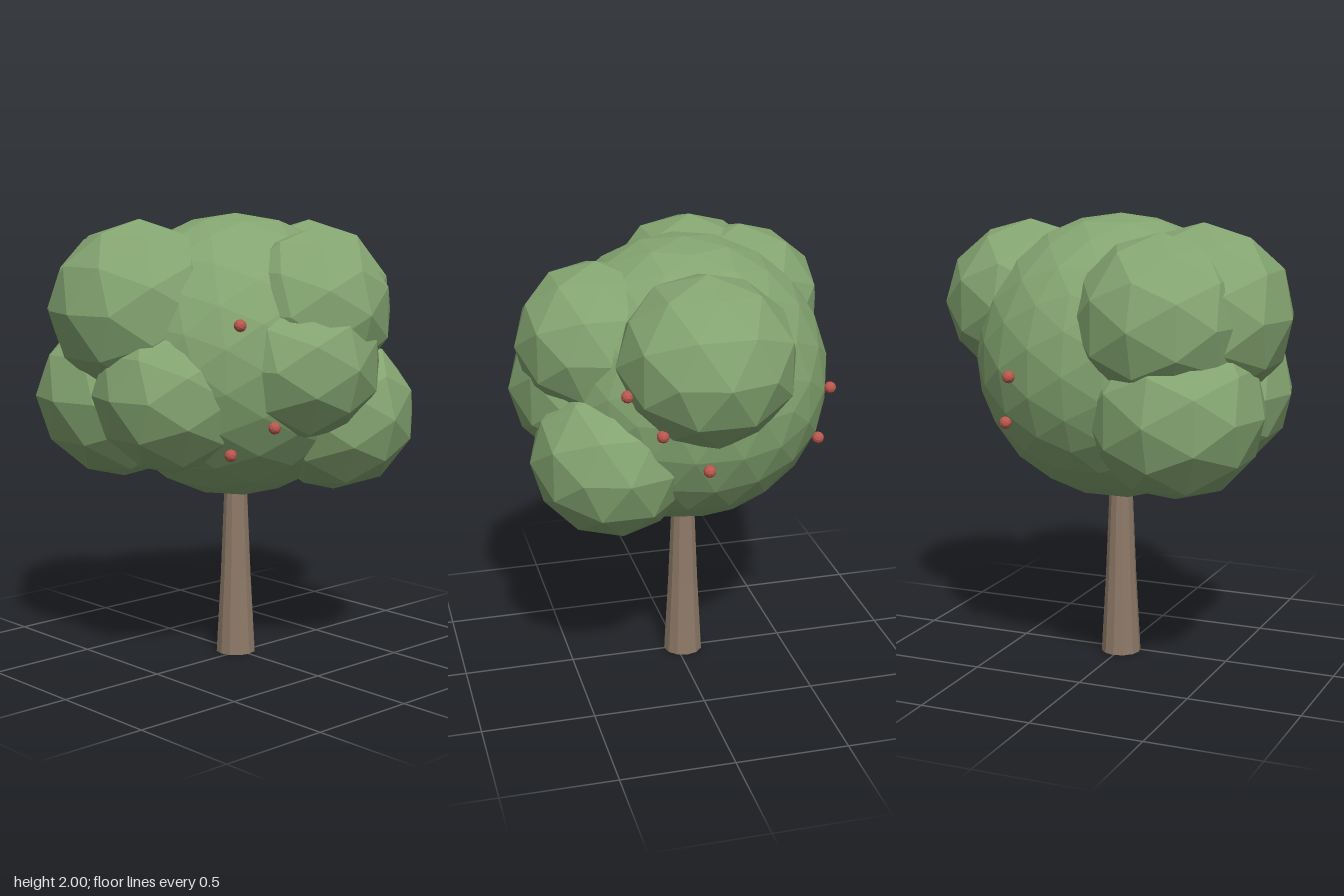
import * as THREE from 'three';

const leaf = new THREE.MeshStandardMaterial({ color: 0x84a571, flatShading: true });
leaf.name = 'leaf green';
const bark = new THREE.MeshStandardMaterial({ color: 0x8e7a68, flatShading: true });
bark.name = 'bark brown';
const fruit = new THREE.MeshStandardMaterial({ color: 0xb9574e, flatShading: true });
fruit.name = 'berry red';

// Faceted ball with its own height radius
function ball(name, [x, y, z], r, ry, detail, material) {
  const mesh = new THREE.Mesh(new THREE.IcosahedronGeometry(1, detail), material);
  mesh.name = name;
  mesh.scale.set(r, ry, r);
  mesh.position.set(x, y, z);
  return mesh;
}

export function createModel() {
  const tree = new THREE.Group();
  tree.name = 'tree';

  // Flared trunk, closed at the bottom, ending inside the crown
  const profile = [[0, 0], [0.09, 0], [0.07, 0.36], [0.054, 0.74], [0.05, 0.95]];
  const trunk = new THREE.Mesh(
    new THREE.LatheGeometry(profile.map(([r, y]) => new THREE.Vector2(r, y)), 12), bark);
  trunk.name = 'trunk';
  trunk.position.z = -0.03;
  tree.add(trunk);

  // Main crown
  tree.add(ball('crown', [0, 1.37, -0.03], 0.637, 0.63, 3, leaf));

  // Foliage lobes around the crown: centre, radius, height radius
  const lobes = [
    ['leftLobe', [0.445, 1.595, -0.015], 0.385, 0.367],
    ['rightLobe', [-0.435, 1.59, -0.17], 0.395, 0.39],
    ['backUpperLobe', [-0.32, 1.58, -0.375], 0.373, 0.37],
    ['backLowerLobe', [-0.385, 1.2, -0.355], 0.39, 0.375],
    ['rightLowerLobe', [-0.41, 1.24, 0.03], 0.36, 0.35],
    ['frontUpperLobe', [0.07, 1.59, 0.37], 0.355, 0.35],
    ['frontMiddleLobe', [-0.02, 1.37, 0.385], 0.36, 0.345],
    ['frontLowerLobe', [0.25, 1.13, 0.345], 0.36, 0.35],
  ];
  for (const [name, centre, r, ry] of lobes) tree.add(ball(name, centre, r, ry, 1, leaf));

  // Berries resting on the crown
  const berries = new THREE.Group();
  berries.name = 'berries';
  const spots = [
    [-0.40, 1.56, 0.43], [-0.27, 1.13, 0.50], [-0.37, 1.005, 0.34], [0.61, 1.17, 0.015],
    [0.26, 1.35, -0.625], [0.31, 1.14, -0.56], [0.53, 1.5, 0.34], [0.60, 1.34, 0.21],
  ];
  for (const p of spots) berries.add(ball('berry', p, 0.027, 0.027, 1, fruit));
  tree.add(berries);

  return tree;
}
